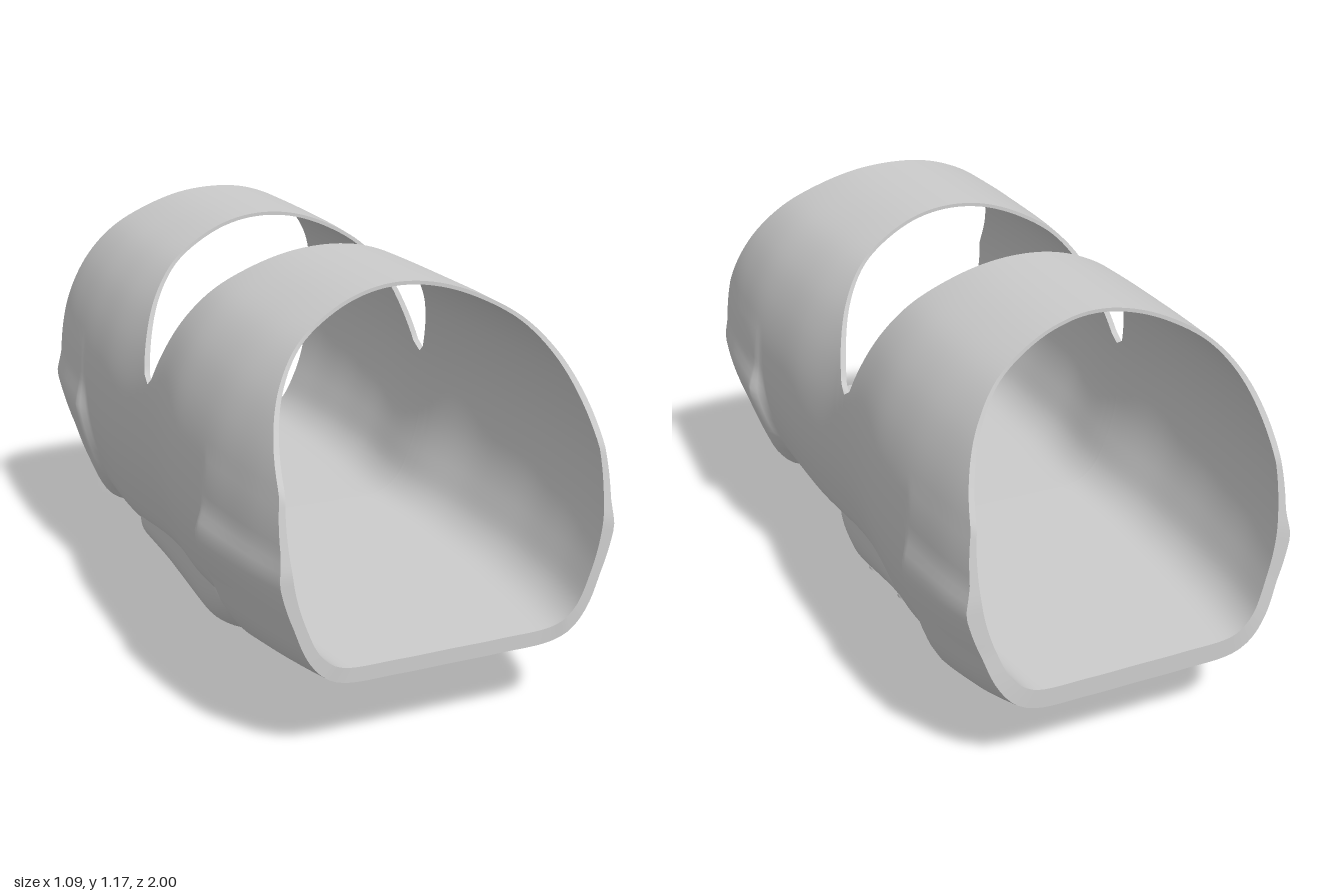
import * as THREE from 'three';
import { mergeVertices, toCreasedNormals } from 'three/addons/utils/BufferGeometryUtils.js';

const material = new THREE.MeshStandardMaterial({ color: 0xcccccc, side: THREE.DoubleSide });
const { clamp, lerp, smoothstep } = THREE.MathUtils;

// Piecewise linear curve through [position, value] pairs in rising order
const track = (...keys) => (t) => {
  if (t <= keys[0][0]) return keys[0][1];
  for (let i = 1; i < keys.length; i++) {
    const [a, va] = keys[i - 1], [b, vb] = keys[i];
    if (t <= b) return lerp(va, vb, (t - a) / (b - a));
  }
  return keys[keys.length - 1][1];
};

// The same curve with its corners rounded over a small radius
const soft = (radius, ...keys) => {
  const f = track(...keys);
  return (t) => {
    let sum = 0;
    for (let i = -4; i <= 4; i++) sum += f(t + radius * i / 4) * (5 - Math.abs(i));
    return sum / 25;
  };
};

// Shape of the sleeve along z: half width, sideways drift, underside and inner floor height
const halfWidth = soft(0.1, [-1.1, 0.438], [-0.85, 0.478], [-0.6, 0.493], [-0.35, 0.491], [-0.12, 0.464], [0.02, 0.464], [0.25, 0.502], [0.6, 0.514], [0.85, 0.495], [1.1, 0.45]);
const drift = soft(0.15, [-1.1, 0.022], [-0.5, 0.014], [0, 0]);
const underside = soft(0.06, [-1.1, 0.275], [-0.9, 0.215], [-0.66, 0.166], [-0.42, 0.15], [0.1, 0.185], [0.38, 0.205], [0.55, 0.222], [1.1, 0.255]);
const floorHeight = soft(0.04, [-1, 0.268], [-0.05, 0.288], [1, 0.268]);

// Cut lines seen from the side: z as a function of height
const frontEnd = track([0.2, 0.985], [0.25, 1], [0.55, 0.995], [0.75, 0.955], [1, 0.79], [1.165, 0.68], [1.175, 0.67]);
const backEnd = track([0.24, -1], [0.4, -0.98], [0.55, -0.97], [0.75, -0.94], [1, -0.82], [1.165, -0.73], [1.175, -0.72]);
const notchFront = track([0.752, -0.05], [0.753, -0.03], [1.175, 0.2]);
const notchBack = track([0.752, -0.05], [0.753, -0.08], [1.175, -0.27]);

// Cross-section: right half from crown to underside, then mirrored
const half = [[0, 1.175], [0.11, 1.163], [0.22, 1.125], [0.33, 1.06], [0.41, 0.968], [0.462, 0.86], [0.492, 0.74],
  [0.5, 0.62], [0.49, 0.5], [0.46, 0.39], [0.412, 0.29], [0.34, 0.24], [0.16, 0.23], [0, 0.23]];
const ring = [...half, ...half.slice(1, -1).reverse().map(([x, y]) => [-x, y])];
const section = new THREE.CatmullRomCurve3(ring.map(([x, y]) => new THREE.Vector3(x, y, 0)), true, 'centripetal');
const COLS = 140;
const columns = Array.from({ length: COLS }, (_, i) => {
  const p = section.getPointAt(i / COLS), t = section.getTangentAt(i / COLS);
  return { x: p.x, y: p.y, nx: -t.y, ny: t.x };
});

// Raised cuffs round the sides and underside of both ends
const frontCuff = track([0.57, 0.037], [1, 0.018]);
const backCuff = track([-1, 0.026], [-0.65, 0.03]);
const cuffHeight = track([0.22, 1.25], [0.25, 1.15], [0.3, 0.85], [0.4, 0.75], [0.53, 1.12], [0.6, 0.3], [0.74, 0]);
function cuff(y, z) {
  const low = 1 - smoothstep(y, 0.2, 0.4);
  const front = smoothstep(z, 0.53 + 0.05 * low, 0.57 + 0.05 * low) * frontCuff(z);
  const back = smoothstep(-z, 0.595 + 0.04 * low, 0.635 + 0.04 * low) * backCuff(z);
  return cuffHeight(y) * (front + back);
}

function sleevePoint(c, z, inner) {
  const low = 1 - smoothstep(c.y, 0.23, 0.7);
  const wall = lerp(0.01, 0.017, 1 - smoothstep(c.y, 0.8, 1.17));
  const base = inner ? floorHeight(z) - wall : underside(z);
  const offset = inner ? -wall : cuff(c.y, z);
  return [
    c.x * halfWidth(z) / 0.5 + c.nx * offset + drift(z),
    c.y + (base - 0.23) * low + c.ny * offset, z,
  ];
}

// Rows of points joined into a surface
function skin(rows, closed, crease) {
  const n = rows[0].length, index = [];
  const rMax = closed ? rows.length : rows.length - 1;
  const cMax = closed ? n : n - 1;
  for (let r = 0; r < rMax; r++) for (let c = 0; c < cMax; c++) {
    const r2 = (r + 1) % rows.length, c2 = (c + 1) % n;
    const a = r * n + c, b = r * n + c2, d = r2 * n + c, e = r2 * n + c2;
    index.push(a, d, b, b, d, e);
  }
  let g = new THREE.BufferGeometry();
  g.setAttribute('position', new THREE.Float32BufferAttribute(rows.flat(2), 3));
  g.setIndex(index);
  g = mergeVertices(g, 1e-5);
  // Drop the triangles that collapse along the slanted cuts
  const kept = [], id = g.index.array;
  for (let i = 0; i < id.length; i += 3) {
    const [a, b, c] = [id[i], id[i + 1], id[i + 2]];
    if (a !== b && b !== c && c !== a) kept.push(a, b, c);
  }
  g.setIndex(kept);
  return toCreasedNormals(g, crease);
}

// One half of the sleeve, with outer skin, rims and inner skin
function sleeveHalf(name, start, end, z0, z1) {
  const steps = 70, rows = [];
  const row = (i, inner) => columns.map((c) =>
    sleevePoint(c, clamp(lerp(z0, z1, i / steps), start(c.y), end(c.y)), inner));
  for (let i = 0; i <= steps; i++) rows.push(row(i, false));
  for (let i = steps; i >= 0; i--) rows.push(row(i, true));
  const mesh = new THREE.Mesh(skin(rows, true, 1), material);
  mesh.name = name;
  return mesh;
}

// Rounded housing under the sleeve
const podWidth = soft(0.03, [-0.43, 0.35], [-0.33, 0.395], [-0.15, 0.385], [0.15, 0.382], [0.25, 0.372], [0.32, 0.345], [0.37, 0.3]);
const podBottom = soft(0.02, [-0.43, 0.15], [-0.41, 0.132], [0.06, 0.017], [0.1, 0.008], [0.15, 0], [0.2, 0.01], [0.25, 0.033], [0.3, 0.075], [0.34, 0.125], [0.37, 0.2]);
function podPoint(a, z) {
  const top = underside(z) + 0.07;
  const c = Math.cos(a), s = Math.max(0, Math.sin(a));
  return [Math.sign(c) * podWidth(z) * Math.abs(c) ** 0.6, top - (top - podBottom(z)) * s ** 0.6, z];
}

function housing() {
  const rows = [];
  for (let i = 0; i <= 60; i++) {
    const z = lerp(-0.43, 0.37, i / 60);
    rows.push(Array.from({ length: 61 }, (_, j) => podPoint(j / 60 * Math.PI, z)));
  }
  const mesh = new THREE.Mesh(skin(rows, false, 0.9), material);
  mesh.name = 'housing';
  return mesh;
}

// Small round button lying on the left flank of the housing
function button(y, z) {
  let a = 0.01;
  while (a < 1.5 && podPoint(a, z)[1] > y) a += 0.005;
  const p = new THREE.Vector3(...podPoint(a, z));
  const u = new THREE.Vector3(...podPoint(a + 0.03, z)).sub(p);
  const v = new THREE.Vector3(...podPoint(a, z + 0.03)).sub(p);
  const normal = v.cross(u).normalize();
  if (normal.x < 0) normal.negate();
  const mesh = new THREE.Mesh(new THREE.CylinderGeometry(0.039, 0.041, 0.008, 32), material);
  mesh.position.copy(p);
  mesh.quaternion.setFromUnitVectors(new THREE.Vector3(0, 1, 0), normal);
  mesh.name = 'button';
  return mesh;
}

export function createModel() {
  const model = new THREE.Group();
  model.name = 'sleeve';
  model.add(
    sleeveHalf('frontSleeve', notchFront, frontEnd, -0.05, 1),
    sleeveHalf('backSleeve', backEnd, notchBack, -1, -0.05),
    housing(),
    button(0.055, 0.08),
    button(0.115, -0.2),
  );
  return model;
}
